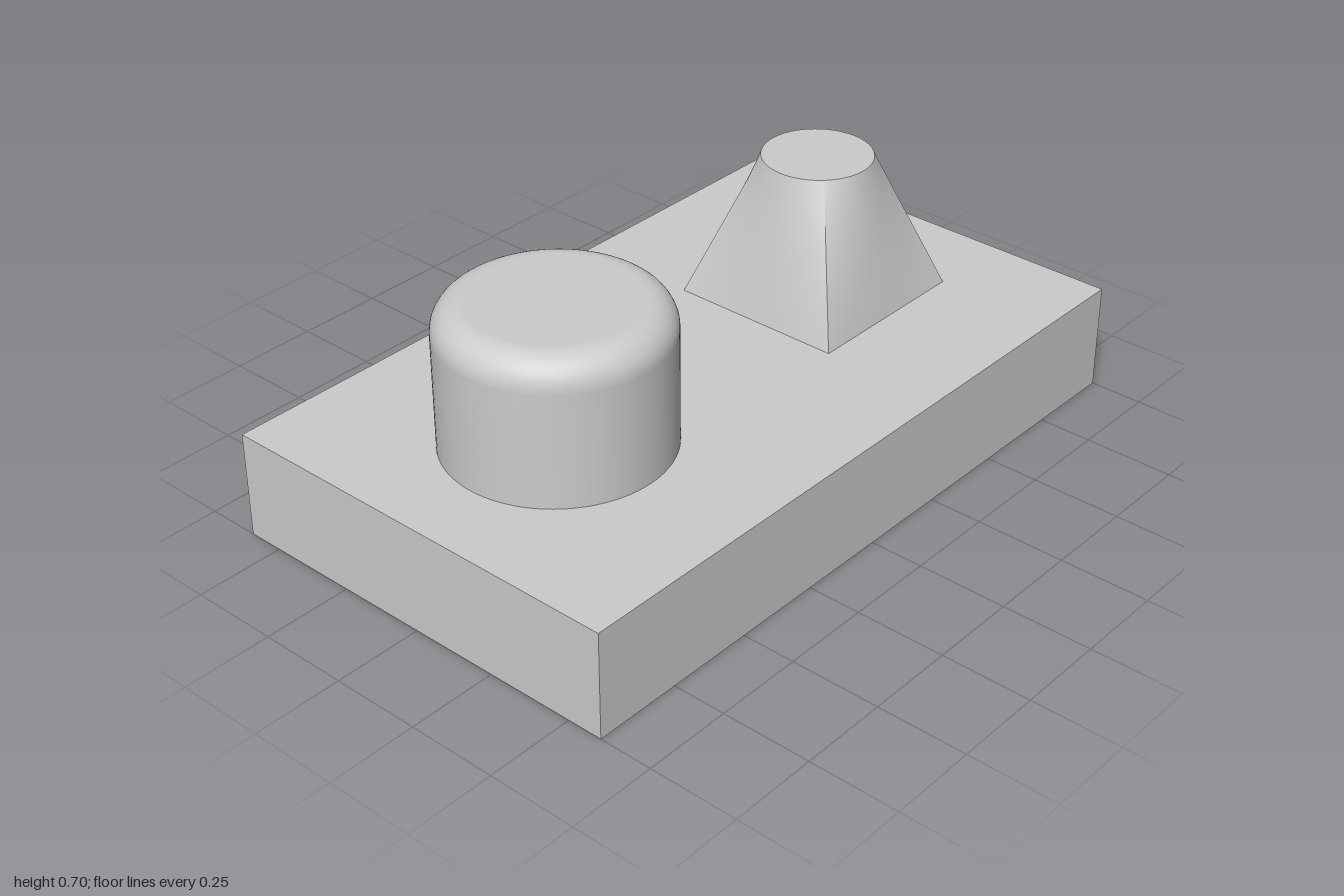
import * as THREE from 'three';
import { ParametricGeometry } from 'three/addons/geometries/ParametricGeometry.js';

const BASE_TOP = 0.3, TOP = 0.7;

export function createModel() {
  const model = new THREE.Group();
  const material = new THREE.MeshStandardMaterial({ color: 0xcccccc });

  const add = (name, geometry, parent = model) => {
    const mesh = new THREE.Mesh(geometry, material);
    mesh.name = name;
    parent.add(mesh);
    return mesh;
  };

  // Rectangular base slab
  add('basePlate', new THREE.BoxGeometry(2, BASE_TOP, 1.2)).position.y = BASE_TOP / 2;

  // Round boss with a filleted top edge; extra points keep the flats crisp
  const radius = 0.3, fillet = 0.08, steps = 12;
  const profile = [
    new THREE.Vector2(radius, BASE_TOP),
    new THREE.Vector2(radius, TOP - fillet - 0.002),
  ];
  for (let i = 0; i <= steps; i++) {
    const a = (i / steps) * Math.PI / 2;
    profile.push(new THREE.Vector2(
      radius - fillet + fillet * Math.cos(a),
      TOP - fillet + fillet * Math.sin(a)));
  }
  profile.push(new THREE.Vector2(radius - fillet - 0.002, TOP), new THREE.Vector2(0, TOP));
  add('roundBoss', new THREE.LatheGeometry(profile, 96)).position.x = -0.5;

  // Lofted boss: square foot blending into a round top, one ruled face per side
  const halfFoot = 0.25, topRadius = 0.15;
  const loft = new THREE.Group();
  loft.name = 'loftedBoss';
  loft.position.x = 0.5;
  model.add(loft);
  const ruledSide = (u, v, target) => {
    const a = (u - 0.5) * Math.PI / 2;
    target.set(
      THREE.MathUtils.lerp((2 * u - 1) * halfFoot, topRadius * Math.sin(a), v),
      THREE.MathUtils.lerp(BASE_TOP, TOP, v),
      THREE.MathUtils.lerp(halfFoot, topRadius * Math.cos(a), v));
  };
  const sideGeometry = new ParametricGeometry(ruledSide, 24, 16);
  ['Front', 'Left', 'Back', 'Right'].forEach((side, i) => {
    add('loft' + side, sideGeometry, loft).rotation.y = i * Math.PI / 2;
  });

  // Flat round top of the loft
  const cap = add('loftTop', new THREE.CircleGeometry(topRadius, 96), loft);
  cap.rotation.x = -Math.PI / 2;
  cap.position.y = TOP;

  return model;
}
